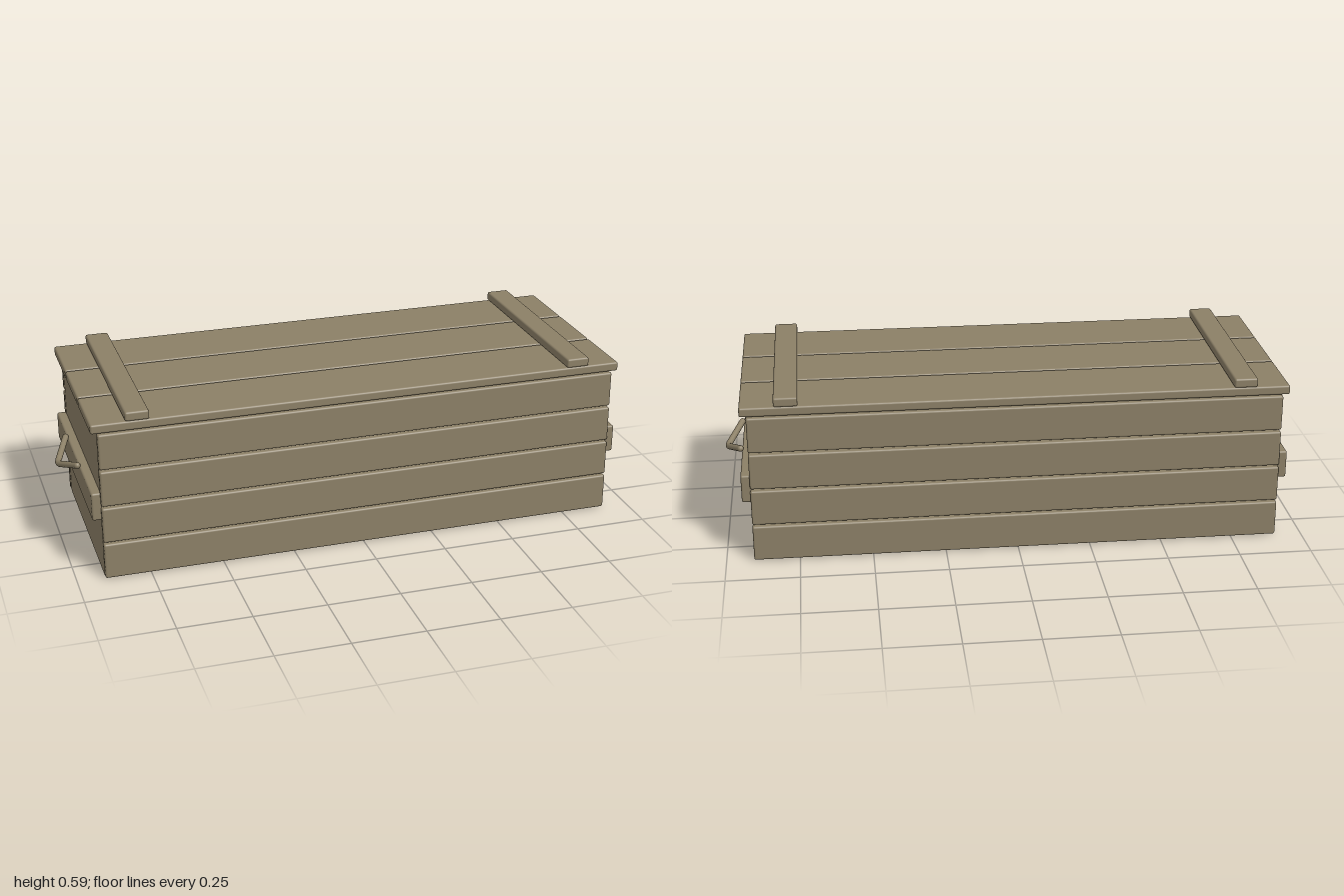
import * as THREE from 'three';
import { RoundedBoxGeometry } from 'three/addons/geometries/RoundedBoxGeometry.js';

const wood = new THREE.MeshStandardMaterial({ color: 0x8b7f66 });

function add(parent, name, geometry, x, y, z) {
  const mesh = new THREE.Mesh(geometry, wood);
  mesh.name = name;
  mesh.position.set(x, y, z);
  parent.add(mesh);
  return mesh;
}

// A board with softly rounded edges
const board = (w, h, d) => new RoundedBoxGeometry(w, h, d, 3, 0.007);

export function createModel() {
  const crate = new THREE.Group();
  crate.name = 'crate';
  const body = new THREE.Group();
  body.name = 'crateBody';
  body.position.z = 0.002;
  crate.add(body);

  // Inner box: the end panels and floor
  add(body, 'innerBox', new THREE.BoxGeometry(1.808, 0.529, 0.678), 0, 0.2645, 0);

  // Four planks on the front and back
  for (const side of [1, -1]) {
    for (let i = 0; i < 4; i++) {
      add(body, side > 0 ? 'frontPlank' : 'backPlank', board(1.812, 0.125, 0.031),
        0, 0.067 + i * 0.132, side * 0.355);
    }
  }

  // Three lid boards
  for (const i of [-1, 0, 1]) {
    add(body, 'lidBoard', board(1.856, 0.032, 0.241), 0, 0.546, i * 0.248);
  }

  for (const side of [1, -1]) {
    // Cleat across the lid
    add(body, 'lidCleat', board(0.08, 0.032, 0.741), side * 0.774, 0.578, 0);

    // Batten across the end
    add(body, 'endBatten', board(0.034, 0.098, 0.708), side * 0.919, 0.264, 0);

    // V-shaped rope handle with a rounded bend
    const path = new THREE.CurvePath();
    const end = (s) => new THREE.Vector3(side * 0.942, 0.315, s * 0.123);
    const bend = (s) => new THREE.Vector3(side * 0.985, 0.28, s * 0.018);
    path.add(new THREE.LineCurve3(end(-1), bend(-1)));
    path.add(new THREE.QuadraticBezierCurve3(
      bend(-1), new THREE.Vector3(side * 0.992, 0.274, 0), bend(1)));
    path.add(new THREE.LineCurve3(bend(1), end(1)));
    const handle = new THREE.Group();
    handle.name = side > 0 ? 'leftHandle' : 'rightHandle';
    add(handle, 'handleRope', new THREE.TubeGeometry(path, 48, 0.011, 12), 0, 0, 0);
    for (const s of [1, -1]) {
      const p = end(s);
      add(handle, 'handleTip', new THREE.SphereGeometry(0.011, 12, 8), p.x, p.y, p.z);
    }
    body.add(handle);
  }
  return crate;
}
